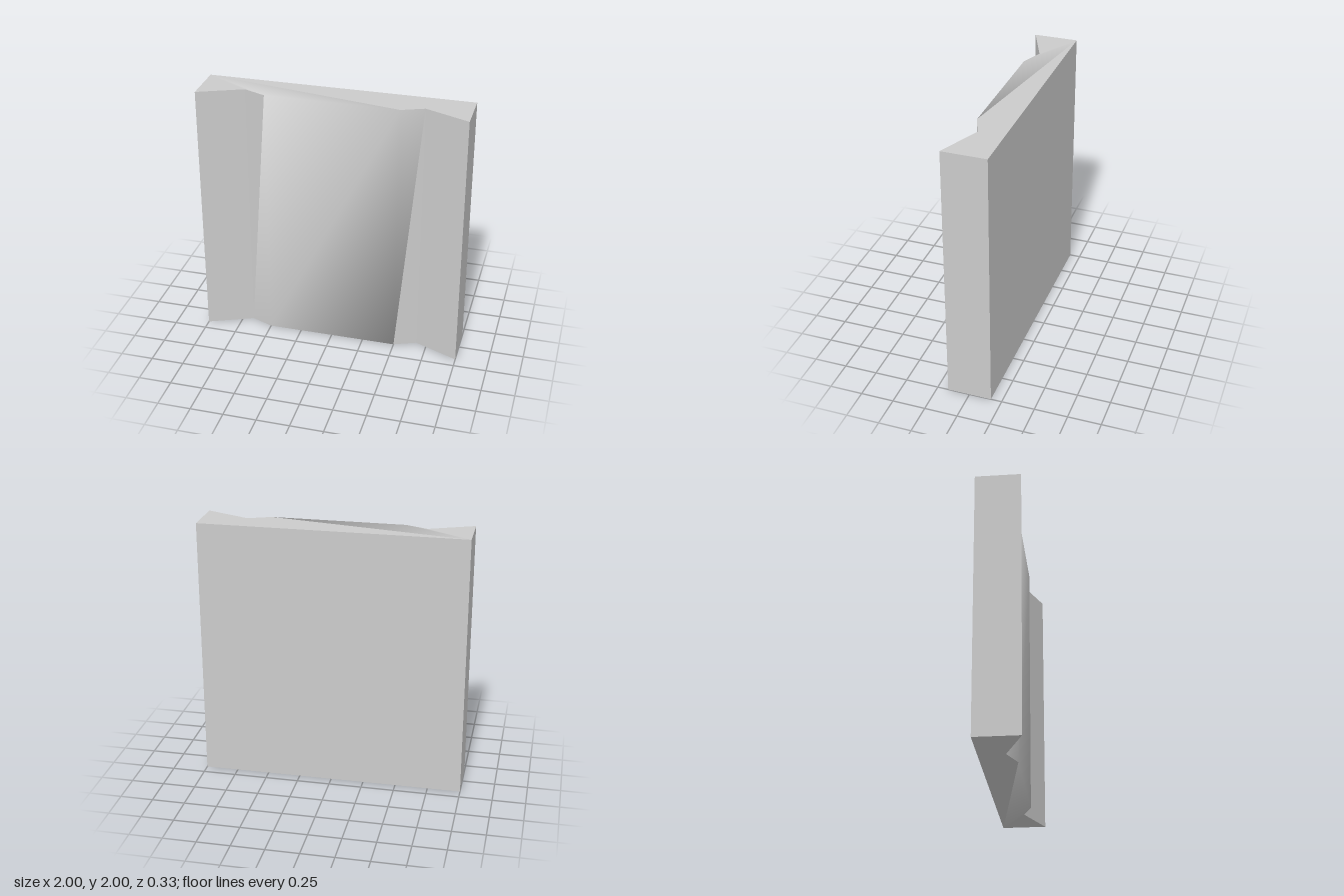
import * as THREE from 'three';

const D = 0.167, N = 0.028, P = 0.095; // depths of slab, groove and raised field
const v = (x, y, z) => new THREE.Vector3(x, y, z);

// corners of one half; the other half is the same turned 180 degrees about z
const backTop = v(-1, 2, -D), backTop2 = v(1, 2, -D), backLow = v(-1, 0, -D);
const rimTop = v(-1, 2, D), rimLow = v(-1, 0, D), rimTop2 = v(1, 2, D);
const grooveTop = v(-0.667, 2, N), grooveLow = v(-0.667, 0, N), grooveTop2 = v(0.667, 2, N);
const fieldTop = v(-0.5, 2, P), fieldLow = v(-0.5, 0, P), fieldTop2 = v(0.5, 2, P);

const withTurned = (tris) => tris.concat(
  tris.map((t) => t.map((p) => v(-p.x, 2 - p.y, p.z))));

const key = (p) => p.toArray().map((n) => n.toFixed(3).replace('-0.000', '0.000')).join();

function build(name, half, smooth) {
  const tris = withTurned(half);
  const sums = new Map(), faceNormals = [];
  // angle-weighted corner normals
  for (const t of tris) {
    const n = new THREE.Triangle(...t).getNormal(new THREE.Vector3());
    faceNormals.push(n);
    t.forEach((p, i) => {
      const a = t[(i + 1) % 3].clone().sub(p), b = t[(i + 2) % 3].clone().sub(p);
      const k = key(p);
      if (!sums.has(k)) sums.set(k, new THREE.Vector3());
      sums.get(k).addScaledVector(n, a.angleTo(b));
    });
  }
  const normals = tris.flatMap((t, i) => t.map((p) =>
    smooth ? sums.get(key(p)).clone().normalize() : faceNormals[i]));
  const geo = new THREE.BufferGeometry().setFromPoints(tris.flat());
  geo.setAttribute('normal', new THREE.Float32BufferAttribute(normals.flatMap((n) => n.toArray()), 3));
  const mesh = new THREE.Mesh(geo, new THREE.MeshStandardMaterial({ color: 0xcccccc }));
  mesh.name = name;
  return mesh;
}

export function createModel() {
  const group = new THREE.Group();
  group.name = 'panel';

  // sharp-edged slab: ends, grooves, sides and back
  group.add(build('slab', [
    [backTop, rimTop, grooveTop],
    [backTop2, backTop, fieldTop2],
    [backTop2, fieldTop2, grooveTop2],
    [backTop2, grooveTop2, rimTop2],
    [rimLow, grooveLow, grooveTop],
    [rimLow, grooveTop, rimTop],
    [grooveTop, grooveLow, fieldTop],
    [backLow, rimLow, rimTop],
    [backLow, rimTop, backTop],
    [backLow, backTop, backTop2],
  ], false));

  // raised field, shaded smoothly over its ends
  group.add(build('raisedField', [
    [grooveLow, fieldLow, fieldTop],
    [fieldLow, fieldTop2, fieldTop],
    [backTop, fieldTop, fieldTop2],
    [backTop, grooveTop, fieldTop],
  ], true));

  return group;
}
